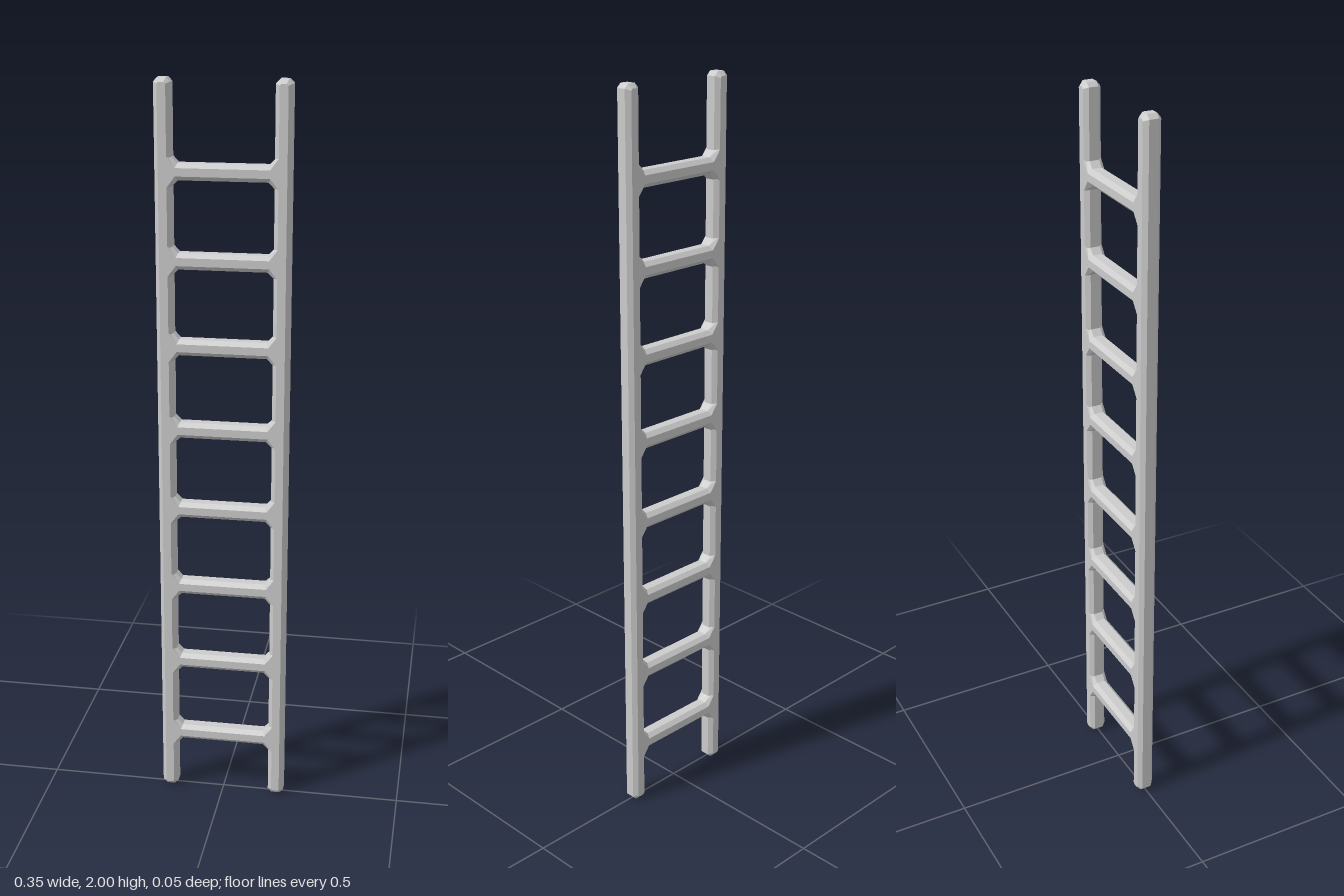
import * as THREE from 'three';

const BEVEL = 0.011;  // chamfer on every long edge
const DEPTH = 0.048;  // thickness front to back
const OUTER = 0.175;  // outer face of a rail
const INNER = 0.131;  // inner face of a rail
const HEIGHT = 2;

const material = new THREE.MeshStandardMaterial({ color: 0xcccccc, flatShading: true });

// Chamfered slab that stays inside its outline and is centred on z = 0
function slab(points) {
  const shape = new THREE.Shape(points.map(([x, y]) => new THREE.Vector2(x, y)));
  const geometry = new THREE.ExtrudeGeometry(shape, {
    depth: DEPTH - 2 * BEVEL,
    bevelEnabled: true,
    bevelSegments: 1,
    bevelSize: BEVEL,
    bevelOffset: -BEVEL,
    bevelThickness: BEVEL,
  });
  return geometry.translate(0, 0, -(DEPTH - 2 * BEVEL) / 2);
}

// Upright with cut corners at both ends
function railGeometry() {
  const w = (OUTER - INNER) / 2, c = BEVEL;
  return slab([
    [-w + c, 0], [w - c, 0], [w, c], [w, HEIGHT - c],
    [w - c, HEIGHT], [-w + c, HEIGHT], [-w, HEIGHT - c], [-w, c],
  ]);
}

// Bar whose ends flare into gussets and run on into the rails
function rungGeometry() {
  const h = 0.0215, start = 0.116, end = INNER + 2 * BEVEL;
  const flare = h + (end - start) * 1.05;
  return slab([
    [-end, -flare], [-start, -h], [start, -h], [end, -flare],
    [end, flare], [start, h], [-start, h], [-end, flare],
  ]);
}

export function createModel() {
  const ladder = new THREE.Group();
  ladder.name = 'ladder';

  // Side rails
  const rail = railGeometry();
  for (const [name, side] of [['leftRail', 1], ['rightRail', -1]]) {
    const mesh = new THREE.Mesh(rail, material);
    mesh.name = name;
    mesh.position.x = side * (OUTER + INNER) / 2;
    ladder.add(mesh);
  }

  // Evenly spaced rungs
  const rung = rungGeometry();
  for (let i = 0; i < 8; i++) {
    const mesh = new THREE.Mesh(rung, material);
    mesh.name = `rung${i + 1}`;
    mesh.position.y = 0.175 + i * 0.2277;
    ladder.add(mesh);
  }
  return ladder;
}
